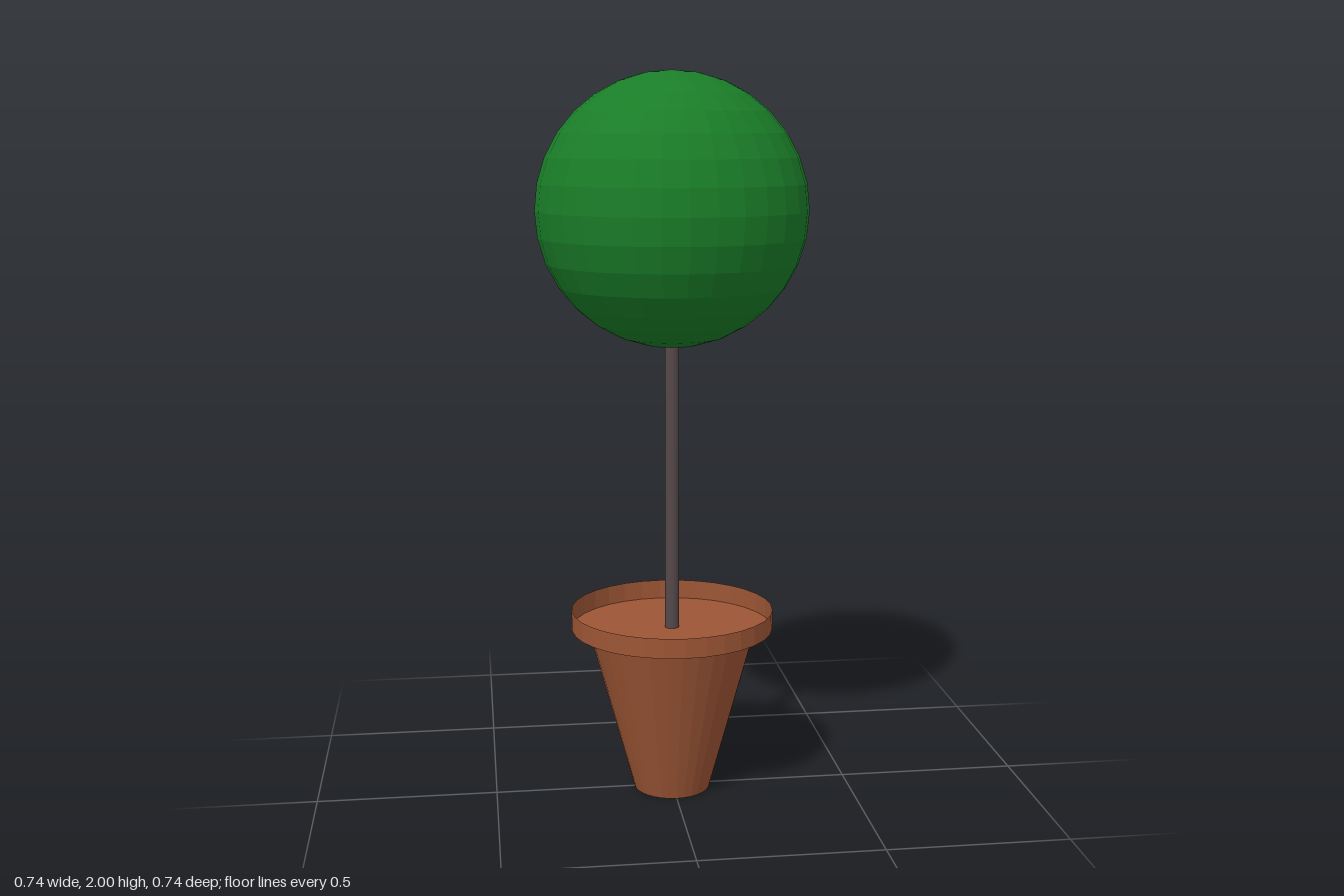
import * as THREE from 'three';

const SIDES = 32;

function material(color, side = THREE.FrontSide) {
  return new THREE.MeshStandardMaterial({ color, side, flatShading: true });
}

function addPart(group, name, geometry, mat, y = 0) {
  const mesh = new THREE.Mesh(geometry, mat);
  mesh.name = name;
  mesh.position.y = y;
  group.add(mesh);
}

export function createModel() {
  const model = new THREE.Group();
  model.name = 'pottedTopiary';

  const potHeight = 0.47, rimTop = 0.525, trunkTop = 1.28, crownRadius = 0.368;

  // Tapered pot, closed at the top where the trunk stands
  addPart(model, 'pot',
    new THREE.CylinderGeometry(0.235, 0.107, potHeight, SIDES),
    material(0x9c5535), potHeight / 2);

  // Thin rim: a flat ledge around the pot with an upright wall
  const rimProfile = [
    [0.235, potHeight], [0.282, potHeight], [0.282, rimTop],
  ].map(([r, y]) => new THREE.Vector2(r, y));
  addPart(model, 'potRim',
    new THREE.LatheGeometry(rimProfile, SIDES),
    material(0x9c5535, THREE.DoubleSide));

  // Slim trunk from the pot up into the crown
  addPart(model, 'trunk',
    new THREE.CylinderGeometry(0.0195, 0.0195, trunkTop - potHeight, SIDES),
    material(0x54484a), (trunkTop + potHeight) / 2);

  // Clipped round crown
  addPart(model, 'crown',
    new THREE.SphereGeometry(crownRadius, SIDES, SIDES / 2),
    material(0x1a7d28), 2 - crownRadius);

  return model;
}
